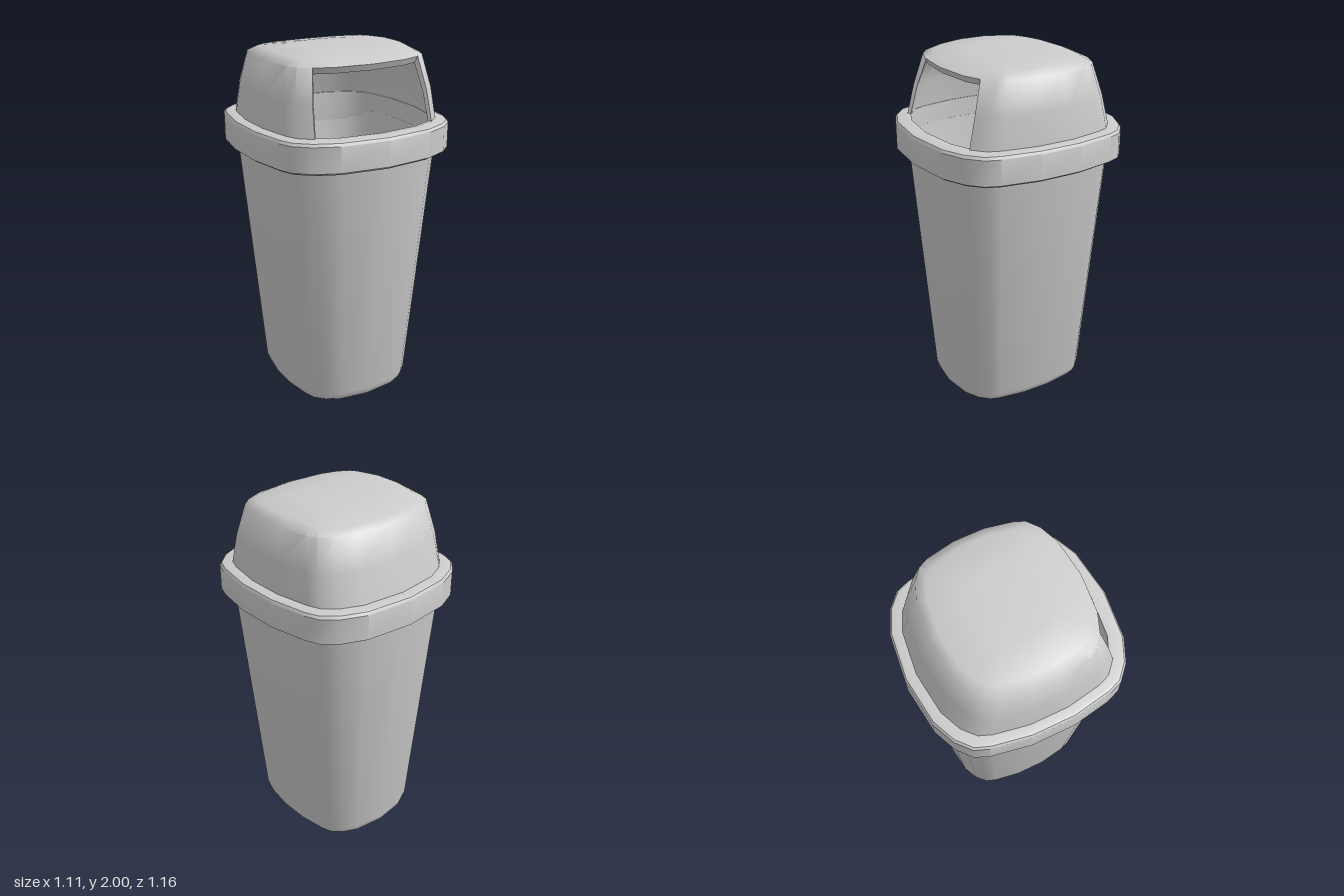
import * as THREE from 'three';
import { toCreasedNormals } from 'three/addons/utils/BufferGeometryUtils.js';

// Rounded-square outline, one quarter, in units of half width and half depth
const QUARTER = [[0.49, 0.945], [0.73, 0.845], [0.875, 0.72], [0.93, 0.585], [1, 0.21]];
const back = QUARTER.map(([x, z]) => [x, -z]).reverse();
const rightHalf = [...QUARTER, ...back];
const OUTLINE = [[0, 1], ...rightHalf, [0, -1], ...rightHalf.map(([x, z]) => [-x, z]).reverse()];
const N = OUTLINE.length;

// Point j of a ring [height, half width, half depth, bow toward front and back]
const ringPoint = ([y, a, b, bow = 0], j) => {
  const [x, z] = OUTLINE[(j + N) % N];
  return new THREE.Vector3(x * a, y - bow * z * z, z * b);
};

function quadsGeometry(quads, crease) {
  const pos = [];
  const tri = (a, b, c) => {
    const area = b.clone().sub(a).cross(c.clone().sub(a)).length();
    if (area > 1e-9) pos.push(...a.toArray(), ...b.toArray(), ...c.toArray());
  };
  for (const [a, b, c, d] of quads) {
    tri(a, b, c);
    tri(a, c, d);
  }
  const geo = new THREE.BufferGeometry();
  geo.setAttribute('position', new THREE.Float32BufferAttribute(pos, 3));
  return toCreasedNormals(geo, crease);
}

// Skin a sequence of rings; skip(i, j) leaves a cell open
function loft(rings, crease, skip = () => false) {
  const quads = [];
  for (let i = 0; i < rings.length - 1; i++) {
    for (let j = 0; j < N; j++) {
      if (skip(i, j)) continue;
      quads.push([
        ringPoint(rings[i], j), ringPoint(rings[i], j + 1),
        ringPoint(rings[i + 1], j + 1), ringPoint(rings[i + 1], j),
      ]);
    }
  }
  return quadsGeometry(quads, crease);
}

export function createModel() {
  const model = new THREE.Group();
  model.name = 'swingTopBin';
  const material = new THREE.MeshStandardMaterial({ color: 0xcccccc, side: THREE.DoubleSide });
  const add = (name, geometry) => {
    const mesh = new THREE.Mesh(geometry, material);
    mesh.name = name;
    model.add(mesh);
  };

  // Tapered hollow body: base, outer wall, top edge, inner wall, floor
  add('body', loft([
    [0, 0, 0], [0, 0.335, 0.395], [0.015, 0.35, 0.41], [0.05, 0.362, 0.42],
    [1.5, 0.495, 0.523], [1.5, 0.477, 0.505],
    [0.05, 0.345, 0.403], [0.02, 0.325, 0.385], [0.02, 0, 0],
  ], 0.75));

  // Collar around the top of the body
  add('rim', loft([
    [1.435, 0.478, 0.497], [1.435, 0.535, 0.56], [1.45, 0.557, 0.582],
    [1.59, 0.557, 0.582], [1.605, 0.547, 0.572], [1.61, 0.53, 0.555],
    [1.61, 0.478, 0.497], [1.435, 0.478, 0.497],
  ], 0.6));

  // Domed lid as a thin shell with an opening through the front
  const outer = [
    [1.612, 0.495, 0.515], [1.78, 0.48, 0.467], [1.955, 0.44, 0.407],
    [1.992, 0.38, 0.36, 0.018], [2, 0.2, 0.2, 0.005], [2, 0, 0],
  ];
  const inner = [
    [1.612, 0.477, 0.497], [1.77, 0.46, 0.45], [1.92, 0.425, 0.39],
    [1.955, 0.36, 0.345, 0.018], [1.965, 0.2, 0.2, 0.005], [1.965, 0, 0],
  ];
  const inOpening = (i, j) => i < 2 && (j < 2 || j >= N - 2);
  add('lidOuter', loft(outer, 0.9, inOpening));
  const innerDown = [...inner].reverse();
  add('lidInner', loft(innerDown, 0.9, (i, j) => inOpening(inner.length - 2 - i, j)));

  // Wall thickness around the edge of the opening: [ring, outline point]
  const edge = [
    [0, 2], [1, 2], [2, 2], [2, 1], [2, 0], [2, -1], [2, -2],
    [1, -2], [0, -2], [0, -1], [0, 0], [0, 1],
  ];
  add('openingEdge', quadsGeometry(edge.map(([i, j], k) => {
    const [i2, j2] = edge[(k + 1) % edge.length];
    return [
      ringPoint(outer[i], j), ringPoint(outer[i2], j2),
      ringPoint(inner[i2], j2), ringPoint(inner[i], j),
    ];
  }), 0.5));

  return model;
}
